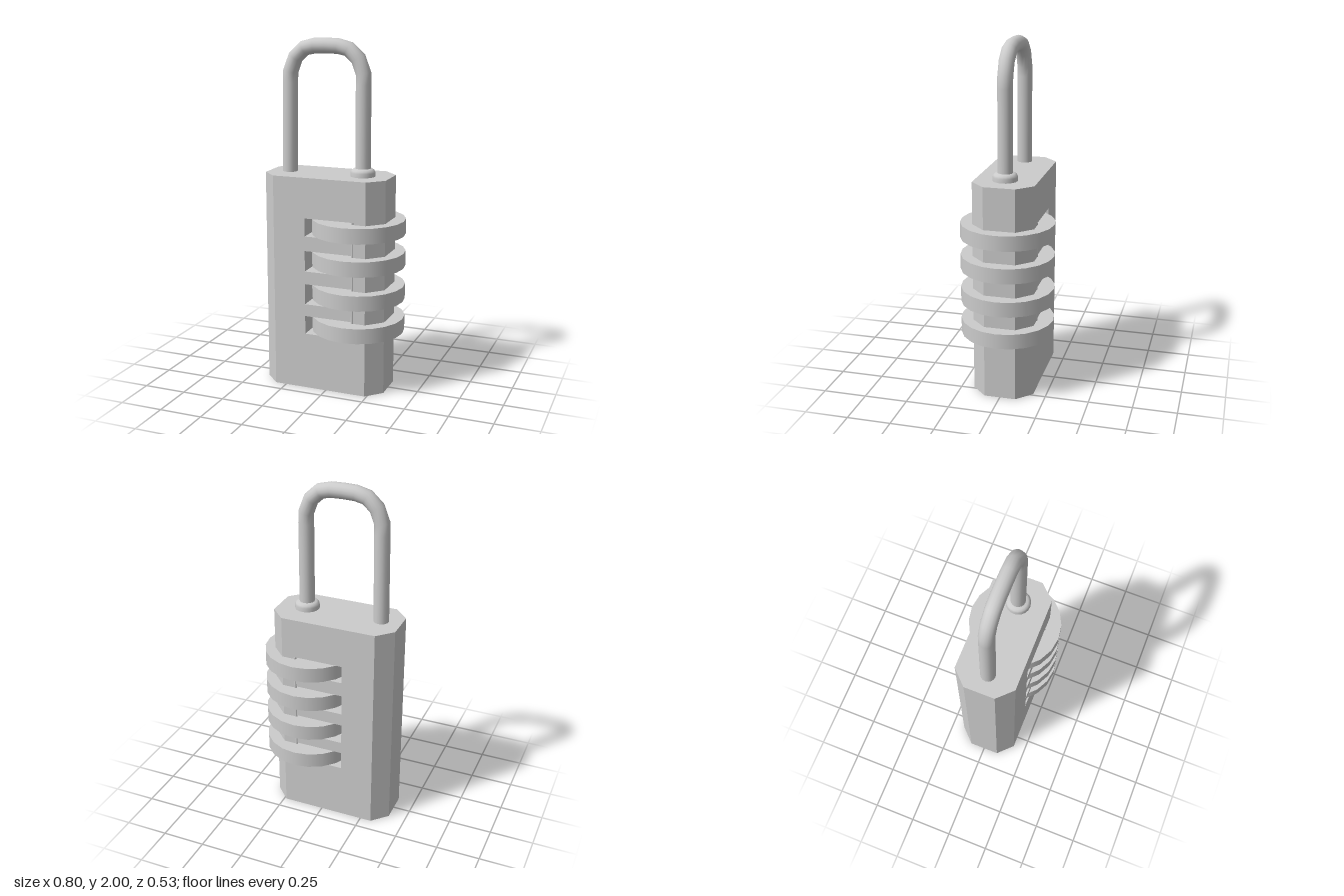
import * as THREE from 'three';

const material = new THREE.MeshStandardMaterial({ color: 0xcccccc });

function add(group, name, geometry, x = 0, y = 0, z = 0) {
  const mesh = new THREE.Mesh(geometry, material);
  mesh.name = name;
  mesh.position.set(x, y, z);
  group.add(mesh);
  return mesh;
}

const HEIGHT = 1.243, HALF_DEPTH = 0.176;
const SLOT_LEFT = -0.125, SLOT_RIGHT = 0.16;
const WHEELS = [0.385, 0.575, 0.77, 0.957];
const SLOTS = [[0.33, 0.437], [0.508, 0.628], [0.703, 0.823], [0.908, 1.012]];

// Tapered end of the case: a trapezoid drawn in plan and extruded upwards
function caseEnd(inner, outer) {
  const points = [[inner, -HALF_DEPTH], [outer, -0.09], [outer, 0.09], [inner, HALF_DEPTH]];
  const shape = new THREE.Shape(points.map(p => new THREE.Vector2(...p)));
  return new THREE.ExtrudeGeometry(shape, { depth: HEIGHT, bevelEnabled: false }).rotateX(-Math.PI / 2);
}

// Straight runs between points, with one tube ring at each point
class Polyline extends THREE.Curve {
  constructor(points) {
    super();
    this.points = points;
  }
  getPoint(t, target = new THREE.Vector3()) {
    const f = t * (this.points.length - 1);
    const i = Math.min(Math.floor(f), this.points.length - 2);
    return target.lerpVectors(this.points[i], this.points[i + 1], f - i);
  }
  getUtoTmapping(u) {
    return u;
  }
}

export function createModel() {
  const model = new THREE.Group();
  model.name = 'combinationPadlock';

  // Case: slotted middle block between two tapered ends
  const body = new THREE.Group();
  body.name = 'case';
  model.add(body);
  const rect = (type, x0, x1, y0, y1) => new type([
    new THREE.Vector2(x0, y0), new THREE.Vector2(x1, y0),
    new THREE.Vector2(x1, y1), new THREE.Vector2(x0, y1)]);
  const plate = rect(THREE.Shape, -0.315, 0.237, 0, HEIGHT);
  for (const [y0, y1] of SLOTS) plate.holes.push(rect(THREE.Path, SLOT_LEFT, SLOT_RIGHT, y0, y1));
  add(body, 'slottedBlock',
    new THREE.ExtrudeGeometry(plate, { depth: 2 * HALF_DEPTH, bevelEnabled: false }), 0, 0, -HALF_DEPTH);
  add(body, 'rightEnd', caseEnd(-0.315, -0.4));
  add(body, 'leftEnd', caseEnd(0.237, 0.322));

  // Core behind the slots, and the thin pins running past them
  add(model, 'core', new THREE.BoxGeometry(0.16, 0.7, 0.2), 0.08, 0.67, 0);
  for (const side of [-1, 1])
    add(model, 'wheelPin', new THREE.CylinderGeometry(0.008, 0.008, 0.68, 8), 0.16, 0.672, side * 0.172);

  // Number wheels
  for (const y of WHEELS)
    add(model, 'numberWheel', new THREE.CylinderGeometry(0.267, 0.267, 0.087, 20), 0.134, y, 0);

  // Collar around the movable leg
  const collar = [[0.07, -0.01], [0.07, 0.022], [0.065, 0.034], [0.055, 0.042], [0.038, 0.045]];
  add(model, 'collar',
    new THREE.LatheGeometry(collar.map(p => new THREE.Vector2(...p)), 20), 0.16, HEIGHT, 0.007);

  // Shackle: mirrored arch, with the fixed leg leaning slightly outwards
  const half = [[0.217, 1.81], [0.187, 1.889], [0.132, 1.94], [0.07, 1.955]];
  const at = (x, y) => new THREE.Vector3(x - 0.058, y, 0.006);
  const path = [
    at(-0.227, 1.2), at(-0.219, 1.75),
    ...half.map(([x, y]) => at(-x, y)), at(0, 1.957),
    ...half.slice().reverse().map(([x, y]) => at(x, y)),
    at(0.218, 1.75), at(0.218, 1.2)];
  add(model, 'shackle', new THREE.TubeGeometry(new Polyline(path), path.length - 1, 0.043, 16));

  return model;
}
